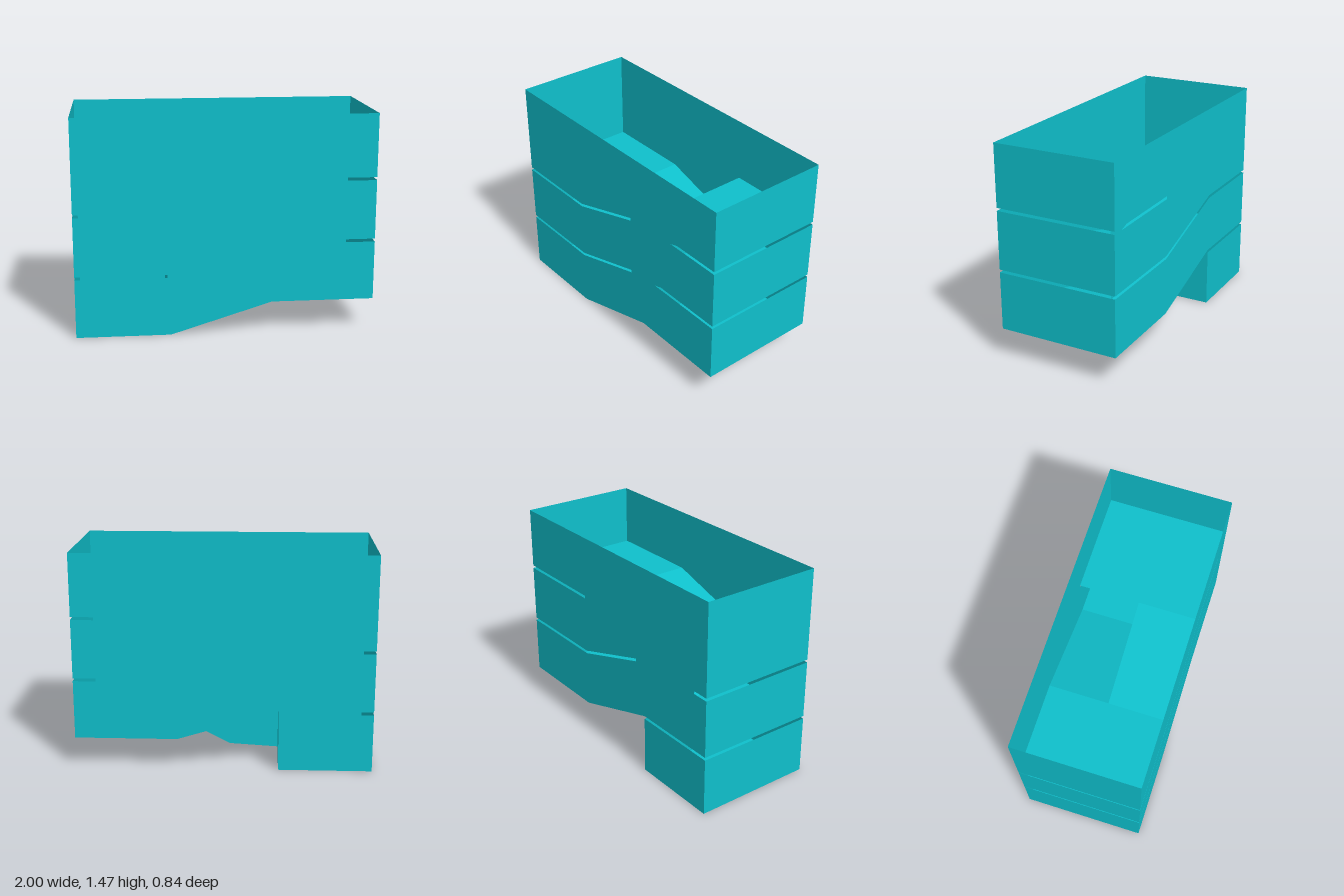
import * as THREE from 'three';

const XL = -0.37, XR = 0.31;      // ramp ends
const D = 0.42;                   // half depth
const RISE = 0.42, HALF = 0.21;   // storey rise and half-storey rise
const WALL = 0.4, TOP = 1.474;    // parapet height and roofline

export function createModel() {
  const group = new THREE.Group();
  const teal = new THREE.MeshStandardMaterial({ color: 0x0fc0cc, side: THREE.DoubleSide });
  teal.name = 'teal';

  const add = (name, geometry) => {
    const mesh = new THREE.Mesh(geometry, teal);
    mesh.name = name;
    group.add(mesh);
  };

  // upright panel facing front or back, outlined by x, y points
  const panel = (name, points, z, back = false) => {
    const s = back ? -1 : 1;
    const shape = new THREE.Shape(points.map(([x, y]) => new THREE.Vector2(s * x, y)));
    const g = new THREE.ShapeGeometry(shape);
    if (back) g.rotateY(Math.PI);
    add(name, g.translate(0, 0, z));
  };

  // upright panel facing left or right
  const sideWall = (name, x, y0, y1, z0 = -D, z1 = D) => {
    const g = new THREE.PlaneGeometry(z1 - z0, y1 - y0);
    g.rotateY(x < 0 && x > -1 || x === 1 ? Math.PI / 2 : -Math.PI / 2);
    add(name, g.translate(x, (y0 + y1) / 2, (z0 + z1) / 2));
  };

  // flat or sloping deck from (x0, y0) to (x1, y1)
  const deck = (name, x0, y0, x1, y1, z0 = -D, z1 = D) => {
    const g = new THREE.PlaneGeometry(Math.hypot(x1 - x0, y1 - y0), z1 - z0);
    g.rotateX(-Math.PI / 2).rotateZ(Math.atan2(y1 - y0, x1 - x0));
    add(name, g.translate((x0 + x1) / 2, (y0 + y1) / 2, (z0 + z1) / 2));
  };

  for (let k = 0; k < 3; k++) {
    const y = k * RISE, mid = y + HALF, next = y + RISE;
    const last = k === 2;
    const lowTop = last ? TOP : y + WALL;
    const highTop = last ? TOP : mid + WALL;

    // landings and front ramp
    deck('leftLanding', -1, y, XL, y);
    deck('rightLanding', XR, mid, 1, mid);
    deck('frontRamp', XL, y, XR, mid, 0, D);

    // end walls and front wall
    sideWall('lowEndWall', -1, y, lowTop);
    sideWall('highEndWall', 1, mid, highTop);
    panel('frontWall', [[-1, y], [XL, y], [XR, mid], [1, mid],
      [1, highTop], [XR, highTop], [XL, lowTop], [-1, lowTop]], D);

    if (last) continue;

    // back ramp up to the next storey
    deck('backRamp', XL, next, XR, mid, -D, 0);

    // divider between the two ramps
    panel('rampDivider', [[XL, y], [-0.03, y + 0.02], [XR, mid - 0.015],
      [XR, mid + WALL], [XL, y + WALL]], 0);

    // back wall; the upper one runs up to the roofline
    if (k === 0) {
      panel('backWall', [[-1, next], [XL, next], [XR, mid], [1, mid],
        [1, mid + WALL], [XR, mid + WALL], [XL, next + WALL], [-1, next + WALL]], -D, true);
    } else {
      panel('upperBackWall', [[-1, next], [XL, next], [XR, mid], [1, mid],
        [1, mid + WALL], [XR, mid + WALL], [XR, mid + RISE], [1, mid + RISE],
        [1, TOP], [-1, TOP]], -D, true);
    }
  }

  // ground storey closing walls
  panel('groundBackWall', [[-1, 0], [XL, 0], [XL, WALL], [-1, WALL]], -D, true);
  sideWall('groundInnerWall', XL, 0, WALL, -D, 0);

  return group;
}
